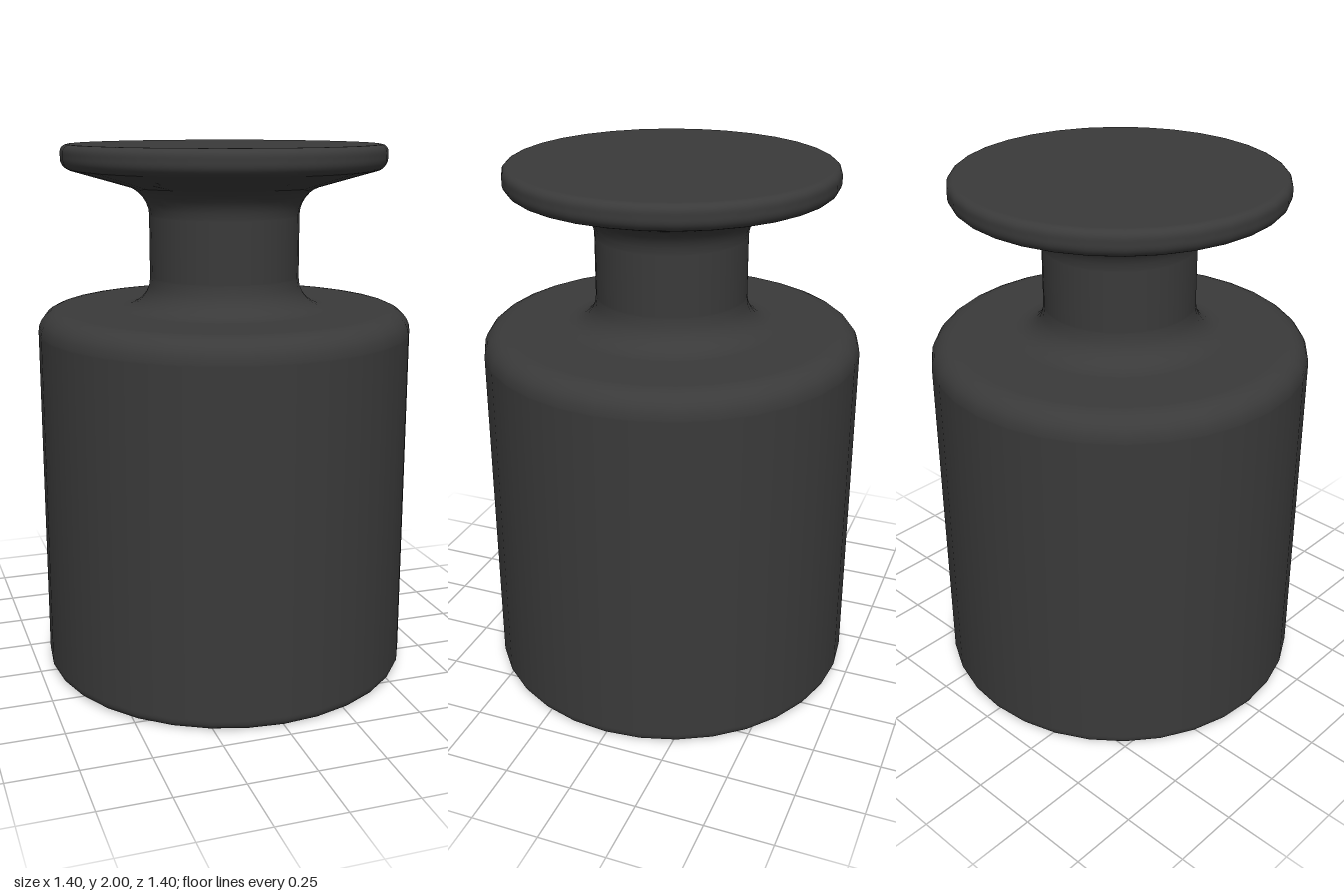
import * as THREE from 'three';

const SIDES = 32;

// Turns corners [radius, height, fillet] into a lathe profile with rounded corners.
function filletedProfile(corners) {
  const pts = [];
  corners.forEach(([x, y, fillet], i) => {
    const corner = new THREE.Vector2(x, y);
    if (!fillet) {
      pts.push(corner);
      return;
    }
    const toward = ([px, py], d) =>
      new THREE.Vector2(px, py).sub(corner).setLength(d).add(corner);
    const start = toward(corners[i - 1], fillet);
    const end = toward(corners[i + 1], fillet);
    const curve = new THREE.CubicBezierCurve(
      start, start.clone().lerp(corner, 0.55),
      end.clone().lerp(corner, 0.55), end
    );
    // Extra points just outside the fillet keep the straight runs evenly shaded.
    pts.push(toward(corners[i - 1], fillet + 0.006));
    pts.push(...curve.getPoints(6));
    pts.push(toward(corners[i + 1], fillet + 0.006));
  });
  return pts;
}

export function createModel() {
  const group = new THREE.Group();
  group.name = 'calibrationWeight';
  const material = new THREE.MeshStandardMaterial({ color: 0x3a3a3a });

  const addTurned = (name, corners) => {
    const geometry = new THREE.LatheGeometry(filletedProfile(corners), SIDES);
    const mesh = new THREE.Mesh(geometry, material);
    mesh.name = name;
    group.add(mesh);
  };

  // Heavy cylinder with a small bottom edge and a rounder shoulder
  addTurned('body', [[0, 0], [0.7, 0, 0.035], [0.7, 1.4, 0.085], [0.45, 1.4]]);

  // Narrow neck, blended into the shoulder and the underside of the knob
  addTurned('neck', [[0.45, 1.4], [0.28, 1.4, 0.11], [0.28, 1.825, 0.08], [0.45, 1.874]]);

  // Flat knob with a sloping underside and a soft rim
  addTurned('knob', [[0.45, 1.874], [0.6, 1.917, 0.03], [0.6, 2, 0.028], [0, 2]]);

  return group;
}
